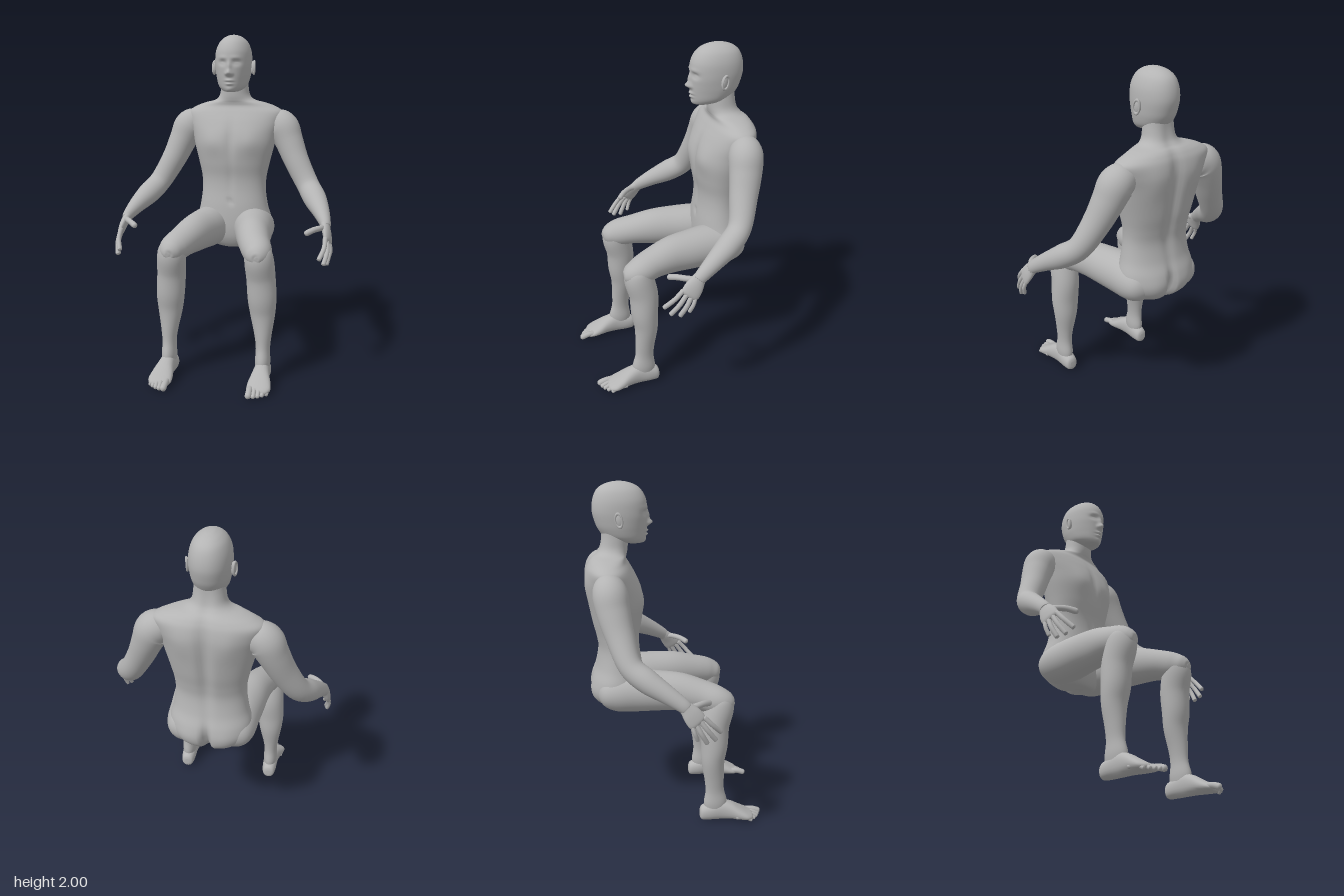
import * as THREE from 'three';

const skinMaterial = new THREE.MeshStandardMaterial({ color: 0xb4b4b4 });
skinMaterial.name = 'grey skin';

const bump = (x, y, cx, cy, sx, sy) => Math.exp(-(((x - cx) / sx) ** 2) - ((y - cy) / sy) ** 2);

// Catmull-Rom through rows of numbers
function smoothRows(rows, steps) {
  const out = [];
  const at = i => rows[Math.min(rows.length - 1, Math.max(0, i))];
  for (let i = 0; i < rows.length - 1; i++) {
    for (let k = 0; k < steps; k++) {
      const t = k / steps;
      out.push(rows[i].map((b, j) => {
        const a = at(i - 1)[j], c = at(i + 1)[j], d = at(i + 2)[j];
        return 0.5 * (2 * b + (c - a) * t + (2 * a - 5 * b + 4 * c - d) * t * t + (3 * b - a - 3 * c + d) * t ** 3);
      }));
    }
  }
  out.push(rows[rows.length - 1]);
  return out;
}

// Closed smooth skin over stations [x, y, z, halfWidth, halfDepth]
function skin(name, stations, { side = [1, 0, 0], axis = null, steps = 6, seg = 24, power = 1, warp = null } = {}) {
  const rows = smoothRows(stations, steps);
  const centres = rows.map(r => new THREE.Vector3(r[0], r[1], r[2]));
  const pos = [], index = [], n = rows.length;
  rows.forEach((r, i) => {
    const t = axis ? new THREE.Vector3(...axis)
      : centres[Math.min(n - 1, i + 1)].clone().sub(centres[Math.max(0, i - 1)]).normalize();
    const u = new THREE.Vector3(...side);
    u.addScaledVector(t, -t.dot(u)).normalize();
    const v = t.clone().cross(u);
    for (let k = 0; k < seg; k++) {
      const a = k / seg * Math.PI * 2, c = Math.cos(a), s = Math.sin(a);
      const round = q => Math.sign(q) * Math.abs(q) ** power;
      const p = centres[i].clone()
        .addScaledVector(u, Math.max(0.002, r[3]) * round(c))
        .addScaledVector(v, Math.max(0.002, r[4]) * round(s));
      if (warp) warp(p, s);
      pos.push(p.x, p.y, p.z);
      if (i < n - 1) {
        const A = i * seg + k, B = i * seg + (k + 1) % seg;
        index.push(A, B, B + seg, A, B + seg, A + seg);
      }
    }
  });
  const first = n * seg, last = first + 1;
  pos.push(...centres[0].toArray(), ...centres[n - 1].toArray());
  for (let k = 0; k < seg; k++) {
    const m = (k + 1) % seg;
    index.push(first, m, k, last, (n - 1) * seg + k, (n - 1) * seg + m);
  }
  // turn the faces outward if the enclosed volume is negative
  let volume = 0;
  const P = i => new THREE.Vector3().fromArray(pos, i * 3).sub(centres[0]);
  for (let i = 0; i < index.length; i += 3) volume += P(index[i]).dot(P(index[i + 1]).cross(P(index[i + 2])));
  if (volume < 0) index.reverse();
  const g = new THREE.BufferGeometry();
  g.setAttribute('position', new THREE.Float32BufferAttribute(pos, 3));
  g.setIndex(index);
  g.computeVertexNormals();
  const mesh = new THREE.Mesh(g, skinMaterial);
  mesh.name = name;
  return mesh;
}

// Finger or toe through points, with a rounded tip
function digit(name, pts, r, s) {
  const st = pts.map(p => [p[0] * s, p[1], p[2], r, r]);
  const [a, b] = pts.slice(-2).map(p => new THREE.Vector3(...p));
  const d = b.clone().sub(a).normalize();
  [[0.65, 0.75], [0.95, 0.2]].forEach(([f, w]) => {
    const p = b.clone().addScaledVector(d, f * r);
    st.push([p.x * s, p.y, p.z, r * w, r * w]);
  });
  return skin(name, st, { steps: 4, seg: 12 });
}

// Rows [y, halfWidth, zFront, zBack] to stations
const levels = rows => rows.map(([y, w, f, b]) => [0, y, (f + b) / 2, w, (f - b) / 2]);

function torsoWarp(p, s) {
  const x = Math.abs(p.x), y = p.y;
  if (s > 0) {
    p.z += s * (0.012 * bump(x, y, 0.12, 1.35, 0.07, 0.07) - 0.012 * bump(x, y, 0, 1.36, 0.025, 0.11)
      - 0.012 * bump(x, y, 0, 0.98, 0.015, 0.015) - 0.005 * bump(x, y, 0, 1.12, 0.02, 0.1));
  } else {
    p.z -= s * (0.024 * bump(x, y, 0, 1.32, 0.035, 0.3) + 0.055 * bump(x, y, 0, 0.75, 0.022, 0.11)
      - 0.012 * bump(x, y, 0.13, 1.44, 0.07, 0.1) - 0.012 * bump(x, y, 0.11, 0.79, 0.07, 0.08));
  }
}

function faceWarp(p, s) {
  const x = Math.abs(p.x), y = p.y;
  if (s <= 0) return;
  p.x *= 1 - 0.12 * s * THREE.MathUtils.smoothstep(1.82 - y, 0, 0.1);
  p.z += s * (0.03 * bump(x, y, 0, 1.772, 0.017, 0.018) + 0.014 * bump(x, y, 0, 1.81, 0.013, 0.03)
    + 0.01 * bump(x, y, 0.018, 1.765, 0.01, 0.01)
    - 0.016 * bump(x, y, 0.043, 1.832, 0.024, 0.016) + 0.007 * bump(x, y, 0.043, 1.829, 0.014, 0.007)
    + 0.005 * bump(x, y, 0.04, 1.86, 0.03, 0.012)
    + 0.012 * bump(x, y, 0, 1.726, 0.025, 0.008) + 0.012 * bump(x, y, 0, 1.705, 0.022, 0.008)
    - 0.004 * bump(x, y, 0, 1.716, 0.03, 0.004) + 0.006 * bump(x, y, 0, 1.673, 0.025, 0.015));
}

function arm(s) {
  const g = new THREE.Group();
  g.name = s > 0 ? 'leftArm' : 'rightArm';
  const m = rows => rows.map(r => [r[0] * s, ...r.slice(1)]);
  g.add(skin('upperArmAndForearm', m([
    [0.2, 1.475, -0.385, 0.05, 0.05], [0.245, 1.465, -0.38, 0.085, 0.08], [0.3, 1.435, -0.372, 0.1, 0.097],
    [0.342, 1.35, -0.358, 0.088, 0.092], [0.395, 1.23, -0.328, 0.077, 0.08], [0.472, 1.09, -0.28, 0.069, 0.066],
    [0.525, 1.02, -0.195, 0.069, 0.066], [0.57, 0.963, -0.1, 0.052, 0.052],
    [0.602, 0.912, -0.02, 0.035, 0.04], [0.61, 0.89, 0.005, 0.028, 0.036]]), { side: [s, 0.3, 0], seg: 32 }));
  // flat palm, then four fingers and the thumb
  g.add(skin('palm', m([
    [0.598, 0.92, -0.03, 0.03, 0.028], [0.608, 0.89, 0.005, 0.04, 0.026], [0.62, 0.855, 0.035, 0.052, 0.023],
    [0.628, 0.82, 0.06, 0.053, 0.018], [0.63, 0.807, 0.07, 0.04, 0.01]]), { side: [-0.25 * s, 0.5, 0.8] }));
  const bases = [[0.615, 0.843, 0.095], [0.624, 0.825, 0.075], [0.631, 0.81, 0.052], [0.635, 0.805, 0.03]];
  const tips = [[0.592, 0.742, 0.19], [0.615, 0.708, 0.16], [0.628, 0.698, 0.112], [0.635, 0.718, 0.062]];
  bases.forEach((b, i) => {
    const mid = b.map((v, j) => (v + tips[i][j]) / 2 + (j === 0 ? 0.01 : 0));
    g.add(digit('finger', [b, mid, tips[i]], i === 3 ? 0.011 : 0.0135, s));
  });
  g.add(digit('thumb', [[0.605, 0.89, 0.01], [0.585, 0.892, 0.06], [0.548, 0.888, 0.105], [0.515, 0.876, 0.137]], 0.017, s));
  return g;
}

function leg(s) {
  const g = new THREE.Group();
  g.name = s > 0 ? 'leftLeg' : 'rightLeg';
  const m = rows => rows.map(r => [r[0] * s, ...r.slice(1)]);
  g.add(skin('thigh', m([
    [0.12, 0.8, -0.45, 0.04, 0.04], [0.127, 0.803, -0.41, 0.1, 0.09], [0.135, 0.808, -0.34, 0.122, 0.119],
    [0.143, 0.813, -0.23, 0.123, 0.125], [0.165, 0.815, -0.1, 0.113, 0.118], [0.185, 0.812, 0.02, 0.101, 0.11],
    [0.215, 0.795, 0.14, 0.091, 0.091], [0.245, 0.772, 0.23, 0.084, 0.083], [0.253, 0.76, 0.29, 0.064, 0.062],
    [0.256, 0.755, 0.32, 0.035, 0.035], [0.256, 0.754, 0.327, 0.01, 0.01]]), { seg: 36 }));
  g.add(skin('lowerLeg', m([
    [0.25, 0.82, 0.235, 0.03, 0.03], [0.252, 0.79, 0.24, 0.07, 0.066], [0.257, 0.73, 0.24, 0.084, 0.086],
    [0.265, 0.62, 0.215, 0.084, 0.085], [0.272, 0.5, 0.213, 0.083, 0.079], [0.276, 0.4, 0.206, 0.072, 0.069],
    [0.28, 0.28, 0.215, 0.05, 0.058], [0.281, 0.2, 0.22, 0.041, 0.056], [0.281, 0.12, 0.225, 0.044, 0.07],
    [0.281, 0.05, 0.225, 0.035, 0.06]]), { seg: 32 }));
  // foot from heel to ball
  g.add(skin('foot', m([
    [0.281, 0.05, 0.131, 0.015, 0.02], [0.281, 0.052, 0.143, 0.036, 0.043], [0.281, 0.06, 0.19, 0.045, 0.054],
    [0.282, 0.069, 0.26, 0.046, 0.063], [0.284, 0.061, 0.32, 0.054, 0.054], [0.286, 0.046, 0.37, 0.065, 0.04],
    [0.287, 0.033, 0.415, 0.068, 0.027], [0.283, 0.026, 0.445, 0.055, 0.018], [0.28, 0.025, 0.455, 0.035, 0.008]]),
    { axis: [0, 0, 1], power: 0.9 }));
  [[0.243, 0.493, 0.018], [0.27, 0.486, 0.0125], [0.293, 0.475, 0.012], [0.315, 0.458, 0.0115], [0.336, 0.436, 0.0115]]
    .forEach(([x, z, r]) => g.add(digit('toe', [[x, 0.034, z - 0.09], [x, 0.034, z - 0.04], [x, r + 0.004, z]], r, s)));
  return g;
}

function ear(s) {
  const g = new THREE.Group();
  g.name = s > 0 ? 'leftEar' : 'rightEar';
  const lobe = new THREE.Mesh(new THREE.SphereGeometry(1, 20, 14), skinMaterial);
  lobe.name = 'earBowl';
  lobe.scale.set(0.012, 0.04, 0.022);
  const rim = new THREE.Mesh(new THREE.TorusGeometry(0.03, 0.007, 10, 28), skinMaterial);
  rim.name = 'earRim';
  rim.rotation.y = Math.PI / 2;
  rim.scale.set(0.65, 1.25, 1);
  rim.position.x = s * 0.008;
  g.add(lobe, rim);
  g.position.set(s * 0.117, 1.803, -0.308);
  g.rotation.set(-0.15, s * 0.3, 0);
  return g;
}

export function createModel() {
  const model = new THREE.Group();
  model.name = 'seatedFigure';
  model.add(skin('torsoAndNeck', levels([
    [0.678, 0.02, -0.27, -0.34], [0.69, 0.11, -0.23, -0.41], [0.74, 0.19, -0.2, -0.472], [0.8, 0.235, -0.187, -0.492],
    [0.87, 0.235, -0.185, -0.487], [0.95, 0.215, -0.19, -0.462], [1.05, 0.202, -0.203, -0.447],
    [1.13, 0.206, -0.203, -0.457], [1.22, 0.225, -0.187, -0.478], [1.32, 0.25, -0.178, -0.495],
    [1.4, 0.268, -0.19, -0.505], [1.47, 0.29, -0.217, -0.508], [1.53, 0.3, -0.25, -0.5], [1.565, 0.25, -0.27, -0.485],
    [1.587, 0.19, -0.27, -0.468], [1.605, 0.125, -0.265, -0.445], [1.635, 0.095, -0.26, -0.425],
    [1.69, 0.085, -0.258, -0.413], [1.76, 0.08, -0.26, -0.41]]),
    { axis: [0, -1, 0], seg: 96, power: 0.92, warp: torsoWarp }));
  model.add(skin('head', levels([
    [1.656, 0.015, -0.19, -0.24], [1.661, 0.045, -0.17, -0.28], [1.677, 0.072, -0.161, -0.35], [1.7, 0.09, -0.157, -0.395],
    [1.74, 0.102, -0.152, -0.425], [1.78, 0.108, -0.15, -0.442], [1.84, 0.112, -0.148, -0.456],
    [1.9, 0.107, -0.153, -0.451], [1.95, 0.088, -0.178, -0.431], [1.98, 0.06, -0.215, -0.395],
    [1.996, 0.028, -0.262, -0.348], [2, 0.006, -0.3, -0.312]]),
    { axis: [0, -1, 0], seg: 96, steps: 9, power: 0.95, warp: faceWarp }));
  for (const s of [1, -1]) model.add(arm(s), leg(s), ear(s));
  return model;
}
